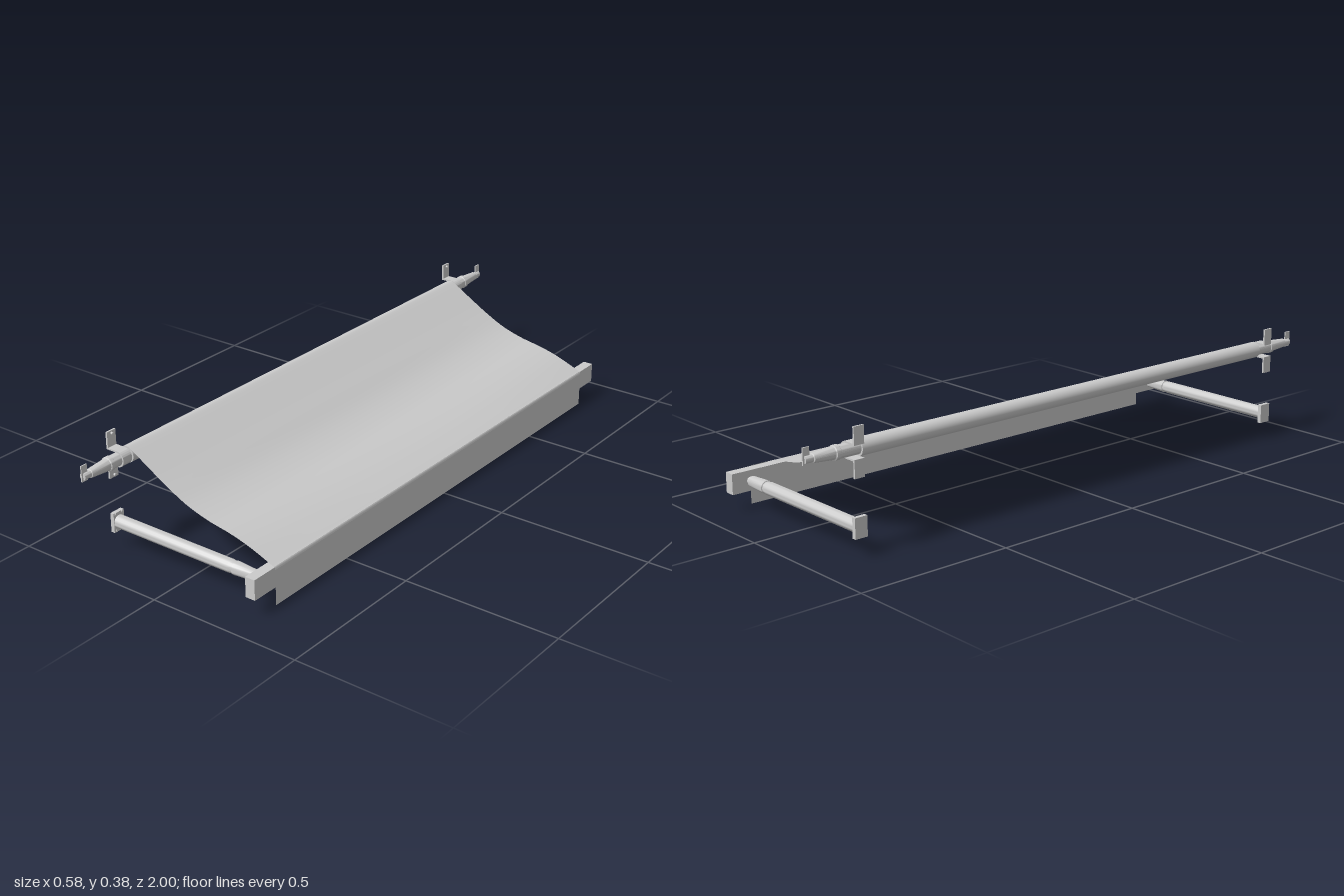
import * as THREE from 'three';
import { toCreasedNormals } from 'three/addons/utils/BufferGeometryUtils.js';

const V2 = (x, y) => new THREE.Vector2(x, y);
const ROLL = { x: -0.253, y: 0.303, r: 0.026 };
const CLOTH_HALF = 0.82, ARM_Z = 0.842, ARM_Y = 0.087;

export function createModel() {
  const model = new THREE.Group();
  const grey = new THREE.MeshStandardMaterial({ color: 0xcccccc });
  const fabric = new THREE.MeshStandardMaterial({ color: 0xcccccc, side: THREE.DoubleSide });

  const add = (name, geometry, x, y, z, parent = model, material = grey) => {
    const mesh = new THREE.Mesh(geometry, material);
    mesh.name = name;
    mesh.position.set(x, y, z);
    parent.add(mesh);
    return mesh;
  };
  const box = (name, w, h, d, x, y, z, parent) =>
    add(name, new THREE.BoxGeometry(w, h, d), x, y, z, parent);
  const turned = (points) =>
    toCreasedNormals(new THREE.LatheGeometry(points.map(([r, y]) => V2(r, y)), 32), 0.5);

  // Roller carrying the wound cloth
  const roller = new THREE.CylinderGeometry(ROLL.r, ROLL.r, CLOTH_HALF * 2, 40).rotateX(Math.PI / 2);
  add('roller', roller, ROLL.x, ROLL.y, 0);

  // Sagging cloth: a smooth curve from the roller to the front bar, lower in the middle
  const curve = new THREE.SplineCurve([
    V2(-0.253, 0.3295), V2(-0.238, 0.325), V2(-0.17, 0.285), V2(-0.1, 0.245), V2(-0.03, 0.211),
    V2(0.045, 0.188), V2(0.13, 0.172), V2(0.2, 0.153), V2(0.276, 0.124), V2(0.286, 0.12), V2(0.289, 0.112),
  ]);
  const cloth = new THREE.PlaneGeometry(1, 1, 60, 32);
  const pos = cloth.attributes.position;
  for (let i = 0; i < pos.count; i++) {
    const p = curve.getPoint(pos.getX(i) + 0.5);
    const across = pos.getY(i) * 2;
    const t = THREE.MathUtils.clamp((p.x + 0.1) / 0.37, 0, 1);
    const sag = 0.01 * Math.sin(Math.PI * t) * (1 - across * across);
    pos.setXYZ(i, p.x, p.y - sag, -across * CLOTH_HALF);
  }
  cloth.computeVertexNormals();
  add('cloth', cloth, 0, 0, 0, model, fabric);

  // Valance hanging in front of the bar
  const valance = new THREE.PlaneGeometry(CLOTH_HALF * 2, 0.112).rotateY(Math.PI / 2);
  add('valance', valance, 0.289, 0.056, 0, model, fabric);

  // Front bar
  box('frontBar', 0.033, 0.064, 1.81, 0.27, 0.087, 0);

  // Strap that holds the roller against the wall, with a flange above and below
  const strap = new THREE.Shape();
  const outer = 0.025, inner = 0.02, back = -0.04, front = -0.034, flange = 0.074;
  strap.moveTo(back, flange);
  strap.lineTo(back, inner);
  strap.lineTo(0, inner);
  strap.absarc(0, 0, inner, Math.PI / 2, -Math.PI / 2, true);
  strap.lineTo(back, -inner);
  strap.lineTo(back, -flange);
  strap.lineTo(front, -flange);
  strap.lineTo(front, -outer);
  strap.lineTo(0, -outer);
  strap.absarc(0, 0, outer, -Math.PI / 2, Math.PI / 2, false);
  strap.lineTo(front, outer);
  strap.lineTo(front, flange);
  strap.closePath();
  const strapGeometry = toCreasedNormals(
    new THREE.ExtrudeGeometry(strap, { depth: 0.034, bevelEnabled: false, curveSegments: 20 })
      .translate(0, 0, -0.017), 0.5);

  // Stepped, tapering roller end
  const endGeometry = turned([
    [0, 0.8], [0.02, 0.8], [0.02, 0.885], [0.022, 0.887], [0.022, 0.9], [0.019, 0.902],
    [0.014, 0.968], [0.011, 0.97], [0.011, 0.995], [0, 0.995],
  ]);
  // Arm tube, tapering cuff and inner rod
  const armGeometry = turned([
    [0, -0.282], [0.0205, -0.282], [0.0205, 0.15], [0.018, 0.165], [0.021, 0.166],
    [0.0165, 0.243], [0.012, 0.243], [0.012, 0.256], [0, 0.256],
  ]);
  const boltGeometry = new THREE.CylinderGeometry(0.004, 0.004, 0.008, 12).rotateZ(Math.PI / 2);

  for (const side of [1, -1]) {
    const label = side > 0 ? 'front' : 'rear';

    const mount = new THREE.Group();
    mount.name = label + 'RollerMount';
    model.add(mount);
    add('strap', strapGeometry, ROLL.x, ROLL.y, side * ARM_Z, mount);
    const end = add('rollerEnd', endGeometry, ROLL.x, ROLL.y, 0, mount);
    end.rotation.x = side * Math.PI / 2;
    box('crankTab', 0.004, 0.05, 0.022, ROLL.x, 0.313, side * 0.989, mount);

    const arm = new THREE.Group();
    arm.name = label + 'Arm';
    model.add(arm);
    const tube = add('armTube', armGeometry, 0, ARM_Y, side * ARM_Z, arm);
    tube.rotation.z = -Math.PI / 2;
    box('wallPlate', 0.013, 0.062, 0.042, -0.2865, ARM_Y, side * ARM_Z, arm);

    for (const v of [1, -1]) {
      add('strapBolt', boltGeometry, -0.284, ROLL.y + v * 0.066, side * ARM_Z, mount);
      for (const w of [1, -1])
        add('plateBolt', boltGeometry, -0.2815, ARM_Y + v * 0.0265, side * ARM_Z + w * 0.013, arm);
    }
  }
  return model;
}
